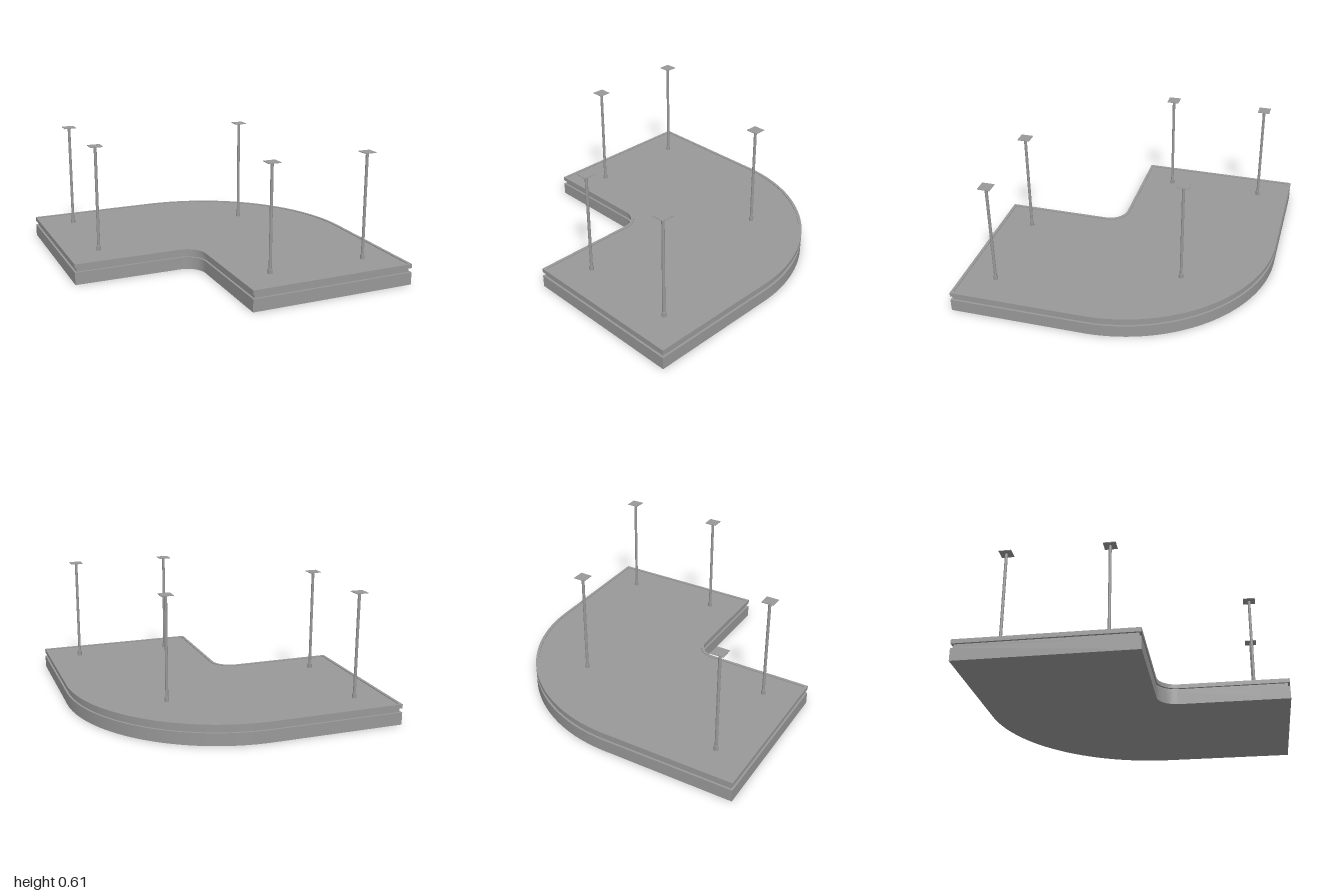
import * as THREE from 'three';
import { toCreasedNormals } from 'three/addons/utils/BufferGeometryUtils.js';

const RIM = 0.014;     // width of the slightly raised edge on top
const GROOVE = 0.01;   // depth of the shadow gap
const DIAG = Math.SQRT2;

// Rounded corner outline, inset by d; shape y is -z
function outline(d, Type = THREE.Shape) {
  const a = Math.PI / 4, s = new Type();
  s.moveTo(0.43, -0.626 + d * DIAG);
  s.lineTo(1 - d * DIAG, -0.055);
  s.absarc(0, -0.144, 0.77 - d, a, 3 * a, false);
  s.lineTo(-1 + d * DIAG, -0.055);
  s.lineTo(-0.43, -0.626 + d * DIAG);
  s.absarc(0, -0.329, 0.094 + d, 3 * a, a, true);
  s.closePath();
  return s;
}

export function createModel() {
  const model = new THREE.Group();
  const grey = new THREE.MeshStandardMaterial({ color: 0x999999 });
  grey.name = 'grey';

  function add(parent, name, geometry, y) {
    const mesh = new THREE.Mesh(geometry, grey);
    mesh.name = name;
    mesh.position.y = y;
    parent.add(mesh);
  }

  function layer(name, shape, y0, y1) {
    const g = new THREE.ExtrudeGeometry(shape, { depth: y1 - y0, bevelEnabled: false, curveSegments: 40 });
    g.rotateX(-Math.PI / 2);
    add(model, name, toCreasedNormals(g, 0.5), y0);
  }

  // Panel body: lower slab, recessed gap, upper tray and its raised rim
  layer('lowerSlab', outline(0), 0, 0.06);
  layer('shadowGap', outline(GROOVE), 0.06, 0.08);
  layer('upperTray', outline(0), 0.08, 0.096);
  const rim = outline(0);
  rim.holes.push(outline(RIM, THREE.Path));
  layer('topRim', rim, 0.096, 0.1);

  // Suspension rods with a foot and a square ceiling plate
  const foot = new THREE.CylinderGeometry(0.011, 0.011, 0.022, 20);
  const rod = new THREE.CylinderGeometry(0.007, 0.007, 0.487, 16);
  const plate = new THREE.BoxGeometry(0.059, 0.003, 0.059).rotateY(Math.PI / 4);
  const spots = [[-0.77, 0.055], [0.77, 0.055], [-0.43, 0.397], [0.43, 0.397], [0, -0.375]];
  for (const [x, z] of spots) {
    const hanger = new THREE.Group();
    hanger.name = 'hanger';
    hanger.position.set(x, 0, z);
    add(hanger, 'foot', foot, 0.107);
    add(hanger, 'rod', rod, 0.3605);
    add(hanger, 'ceilingPlate', plate, 0.6055);
    model.add(hanger);
  }
  return model;
}
